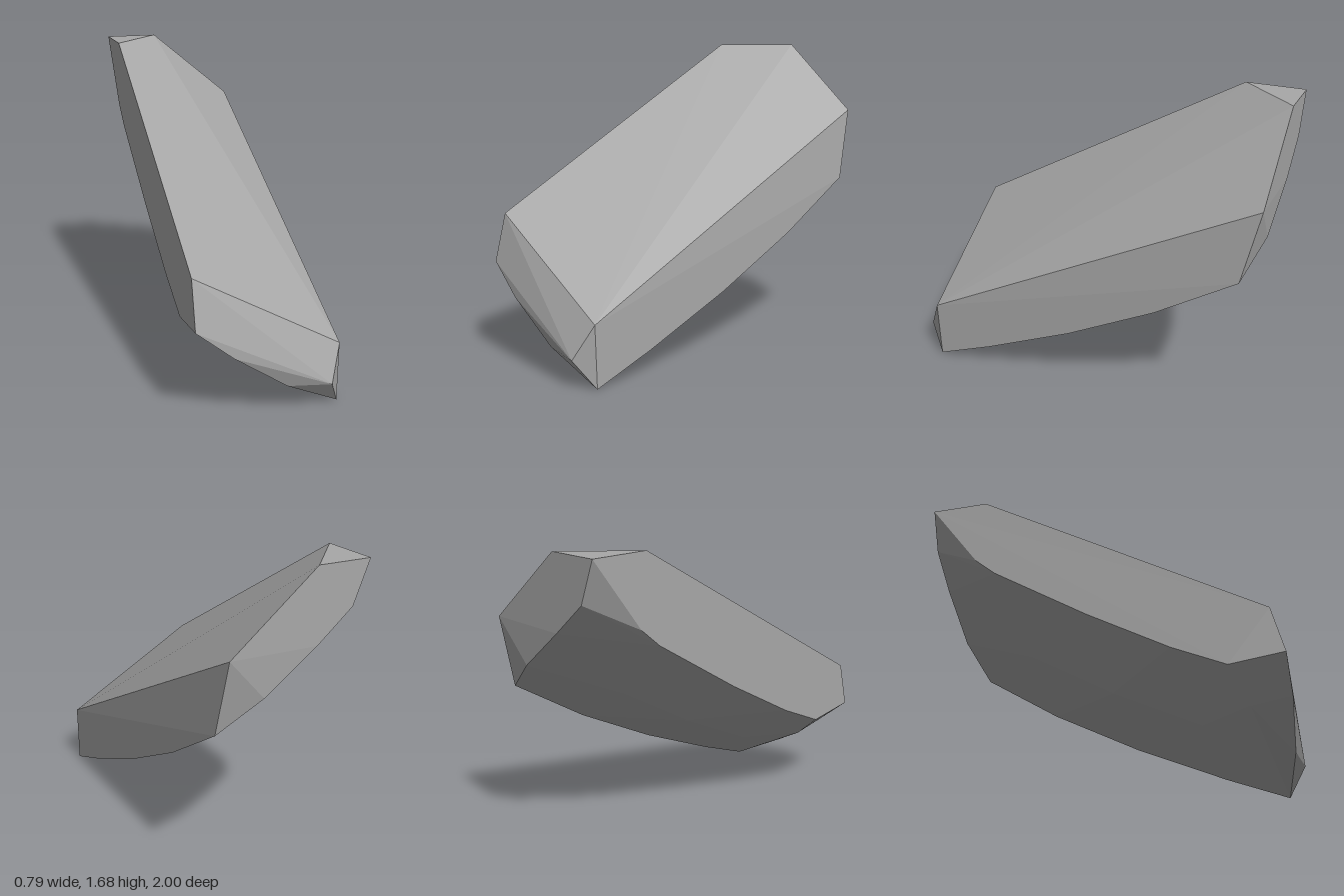
import * as THREE from 'three';
import { ConvexGeometry } from 'three/addons/geometries/ConvexGeometry.js';

const points = (list) => list.map(([x, y, z]) => new THREE.Vector3(x, y, z));

export function createModel() {
  const model = new THREE.Group();
  model.name = 'stoneShard';

  const stone = new THREE.MeshStandardMaterial({ color: 0xa8a8a8 });
  stone.name = 'grey stone';

  const L = -0.395, R = 0.393; // the two flat sides

  // corners of the sloping upper face and its clipped tip
  const upper = [
    [L, 1.68, -1], [-0.1, 1.68, -1], [L, 1.68, -0.67],
    [0.37, 1.29, -1], [L, 0.78, 0.93], [R, 0.33, 0.91],
  ];
  // blunt front end
  const front = [
    [L, 0.525, 0.995], [-0.2, 0.365, 0.998], [0.32, 0.15, 1],
    [0.09, 0.16, 0.97], [-0.2, 0.33, 0.78],
  ];
  // lower rim of the back end
  const back = [[-0.306, 1.453, -1], [-0.11, 1.285, -1], [0.17, 1.065, -0.985]];
  // curved lower edges of the two sides
  const rightEdge = [[0.9, 0], [0.56, 0.13], [0.05, 0.35], [-0.46, 0.61], [-0.91, 0.89]]
    .map(([z, y]) => [R, y, z]);
  const leftEdge = [[0.7, 0.487], [0.41, 0.617], [-0.044, 0.867], [-0.59, 1.2], [-0.71, 1.3]]
    .map(([z, y]) => [L, y, z]);
  // gentle bulge of the underside
  const belly = [[0, 0.32, 0.5], [0, 0.56, 0], [0, 0.845, -0.5]];

  const geometry = new ConvexGeometry(
    points([...upper, ...front, ...back, ...rightEdge, ...leftEdge, ...belly])
  );
  const shard = new THREE.Mesh(geometry, stone);
  shard.name = 'shard';
  model.add(shard);
  return model;
}
